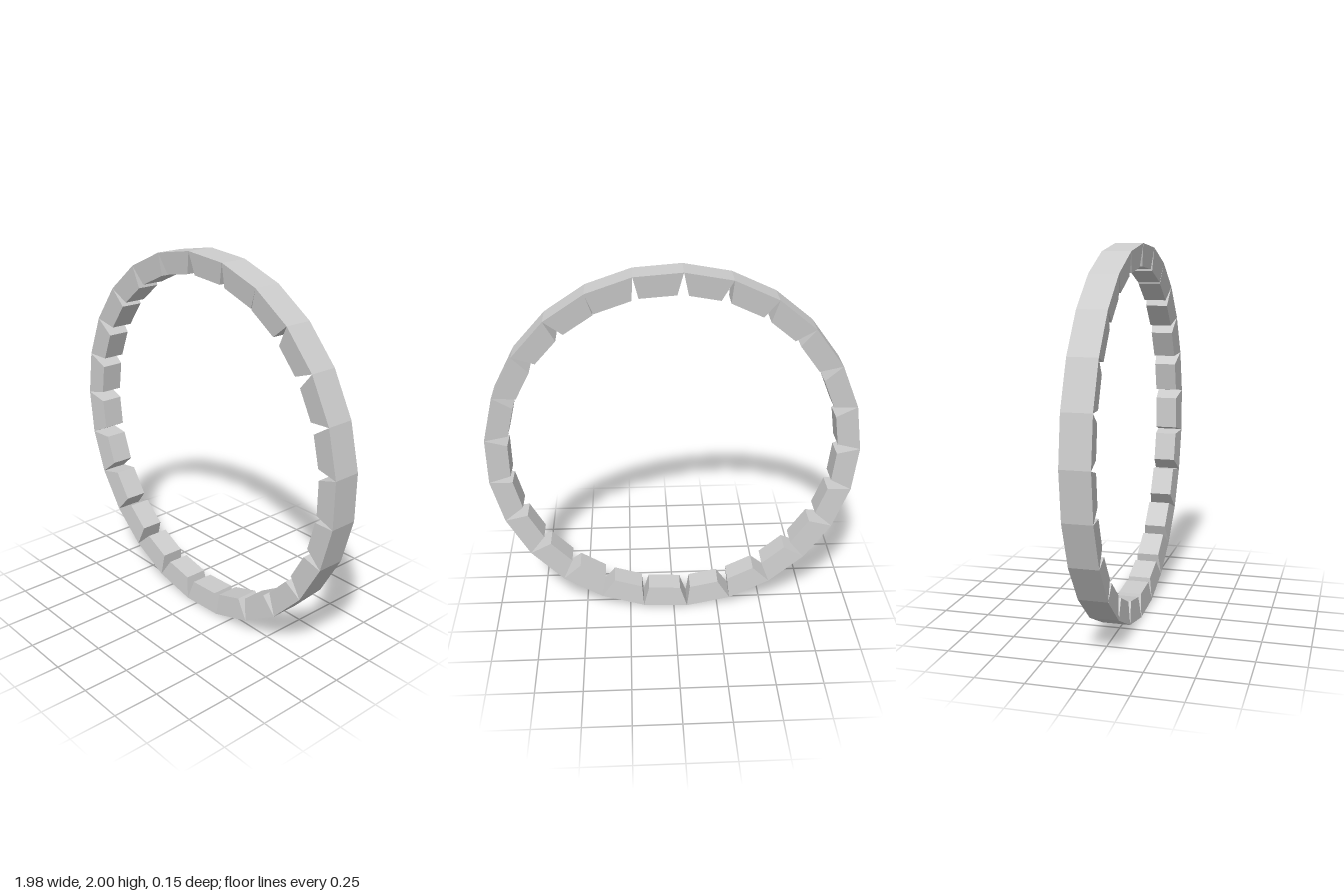
import * as THREE from 'three';

const COUNT = 25;
const RX = 0.992, RY = 1.002, CENTER_Y = 0.9995;
const PHASE = THREE.MathUtils.degToRad(6.4);
const DEPTH = 0.115;          // radial thickness of a block
const OUTER_HALF = 0.075;     // half width at the outer face
const INNER_HALF = 0.062;     // half width at the inner face

// How far each end of the inner face is cut back; a few blocks are uneven
const TAPER = [0.046, 0.041];
const UNEVEN = {
  3: [0.04, 0.03], 4: [0.005, 0.045], 5: [0.02, 0.04], 7: [0.04, 0.03],
  9: [0.03, 0.045], 14: [0.05, 0.03], 18: [0.045, 0.025], 24: [0.028, 0.04],
};

// Outer corner of the ring at joint k
function joint(k) {
  const a = PHASE + (k * Math.PI * 2) / COUNT;
  return new THREE.Vector2(RX * Math.cos(a), CENTER_Y + RY * Math.sin(a));
}

// A box reshaped into a wedge: full size outside, smaller towards the centre
function blockGeometry(k) {
  const start = joint(k);
  const along = joint(k + 1).sub(start);
  const length = along.length();
  along.normalize();
  const [cutStart, cutEnd] = UNEVEN[k] ?? TAPER;

  const geometry = new THREE.BoxGeometry(1, 1, 1);
  const pos = geometry.attributes.position;
  for (let i = 0; i < pos.count; i++) {
    const inner = pos.getY(i) > 0;
    const t = pos.getX(i) < 0 ? (inner ? cutStart : 0) : length - (inner ? cutEnd : 0);
    const d = inner ? DEPTH : 0;
    const z = Math.sign(pos.getZ(i)) * (inner ? INNER_HALF : OUTER_HALF);
    pos.setXYZ(i, start.x + along.x * t - along.y * d, start.y + along.y * t + along.x * d, z);
  }
  geometry.computeVertexNormals();
  return geometry;
}

export function createModel() {
  const model = new THREE.Group();
  model.name = 'segmentedRing';
  const material = new THREE.MeshStandardMaterial({ color: 0xcccccc, flatShading: true });

  // Ring of wedge blocks touching at their outer edges
  for (let k = 0; k < COUNT; k++) {
    const block = new THREE.Mesh(blockGeometry(k), material);
    block.name = `ringBlock${k + 1}`;
    model.add(block);
  }
  return model;
}
